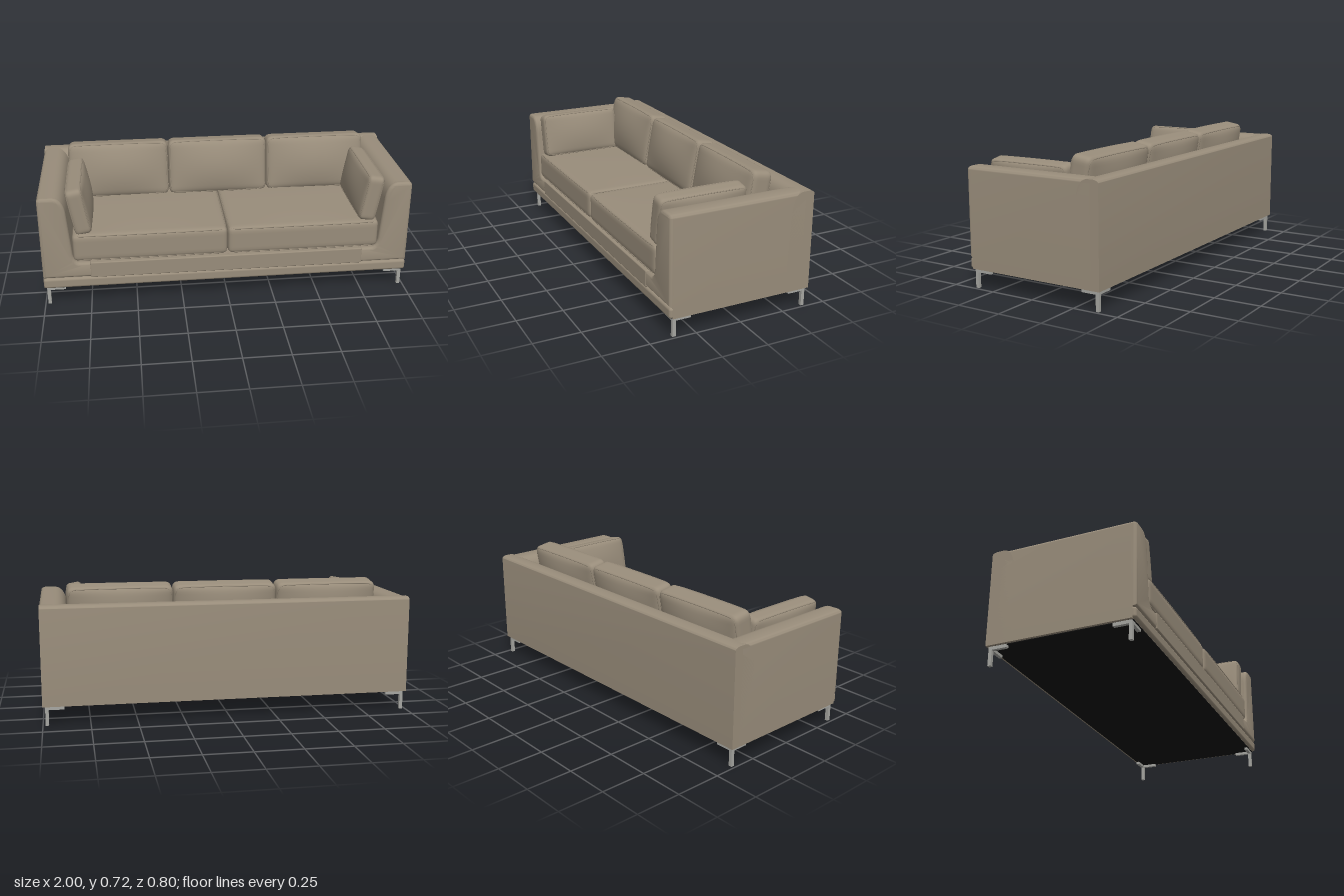
import * as THREE from 'three';
import { mergeVertices, toCreasedNormals } from 'three/addons/utils/BufferGeometryUtils.js';
import { RoundedBoxGeometry } from 'three/addons/geometries/RoundedBoxGeometry.js';

const upholstery = new THREE.MeshStandardMaterial({ color: 0x988c7a });
upholstery.name = 'taupe upholstery';
const steel = new THREE.MeshStandardMaterial({ color: 0xa6a6a1 });
steel.name = 'brushed steel';
const lining = new THREE.MeshStandardMaterial({ color: 0x111111 });
lining.name = 'black lining';

function add(parent, name, geometry, material, x = 0, y = 0, z = 0) {
  const mesh = new THREE.Mesh(geometry, material);
  mesh.name = name;
  mesh.position.set(x, y, z);
  parent.add(mesh);
  return mesh;
}

// Thickness of a crowned cushion relative to its middle
const crownAt = (u, v, k) => 1 - k + k * Math.max(0, 1 - u * u) * Math.max(0, 1 - v * v);

// Soft block, thickest in the middle (thickness runs along z)
function cushionGeometry(w, h, d, r, k) {
  let geo = new THREE.BoxGeometry(2, 2, 2, 28, 24, 12);
  const pos = geo.attributes.position;
  const half = new THREE.Vector3(w / 2, h / 2, d / 2);
  const core = half.clone().subScalar(r);
  const p = new THREE.Vector3(), c = new THREE.Vector3();
  for (let i = 0; i < pos.count; i++) {
    p.fromBufferAttribute(pos, i);
    // gather the grid towards the rounded edges
    for (const a of ['x', 'y', 'z']) p[a] = Math.sin(p[a] * Math.PI / 2) * half[a];
    c.copy(p).clamp(core.clone().negate(), core);
    p.sub(c).setLength(r).add(c);
    p.z *= crownAt(p.x / half.x, p.y / half.y, k);
    pos.setXYZ(i, p.x, p.y, p.z);
  }
  geo.deleteAttribute('uv');
  geo.deleteAttribute('normal');
  geo = mergeVertices(geo, 1e-5);
  geo.computeVertexNormals();
  return geo;
}

// Fine raised seam around one face of a cushion
function pipingGeometry(w, h, d, r, k, side) {
  const inset = r * 0.3, x = w / 2 - inset, y = h / 2 - inset;
  const points = [];
  for (const [sx, sy, start] of [[1, 1, 0], [-1, 1, 1], [-1, -1, 2], [1, -1, 3]]) {
    for (let j = 0; j <= 4; j++) {
      const a = (start + j / 4) * Math.PI / 2;
      const px = sx * (x - r) + r * Math.cos(a), py = sy * (y - r) + r * Math.sin(a);
      const z = (d / 2 - inset) * crownAt(2 * px / w, 2 * py / h, k);
      points.push(new THREE.Vector3(px, py, side * z));
    }
  }
  const path = new THREE.CatmullRomCurve3(points, true, 'centripetal');
  return new THREE.TubeGeometry(path, 120, 0.003, 5, true);
}

function cushion(parent, name, w, h, d, r, k) {
  const group = new THREE.Group();
  group.name = name;
  add(group, name + 'Body', cushionGeometry(w, h, d, r, k), upholstery);
  for (const side of [1, -1]) add(group, name + 'Piping', pipingGeometry(w, h, d, r, k, side), upholstery);
  parent.add(group);
  return group;
}

// U-shaped section of arms and base, starting at height y0
function frameShape(y0) {
  const s = new THREE.Shape();
  s.moveTo(-1, y0);
  s.lineTo(1, y0);
  s.lineTo(1, 0.615);
  s.quadraticCurveTo(1, 0.632, 0.975, 0.635);
  s.lineTo(0.92, 0.635);
  s.bezierCurveTo(0.875, 0.63, 0.857, 0.59, 0.853, 0.53);
  s.lineTo(0.835, 0.31);
  s.quadraticCurveTo(0.83, 0.25, 0.79, 0.25);
  s.lineTo(-0.79, 0.25);
  s.quadraticCurveTo(-0.83, 0.25, -0.835, 0.31);
  s.lineTo(-0.853, 0.53);
  s.bezierCurveTo(-0.857, 0.59, -0.875, 0.63, -0.92, 0.635);
  s.lineTo(-0.975, 0.635);
  s.quadraticCurveTo(-1, 0.632, -1, 0.615);
  s.closePath();
  return s;
}

const extrude = (shape, options) =>
  toCreasedNormals(new THREE.ExtrudeGeometry(shape, { curveSegments: 10, bevelEnabled: false, ...options }), 0.6);

export function createModel() {
  const sofa = new THREE.Group();
  sofa.name = 'sofa';

  // Arms and base, with a softly rounded front facing
  add(sofa, 'armsAndBase', extrude(frameShape(0.103), { depth: 0.73 }), upholstery, 0, 0, -0.352);
  add(sofa, 'frontFacing', extrude(frameShape(0.165), {
    depth: 0.01, bevelEnabled: true, bevelThickness: 0.018, bevelSize: 0.018, bevelOffset: -0.018, bevelSegments: 5,
  }), upholstery, 0, 0, 0.37);
  add(sofa, 'frontPanel', new RoundedBoxGeometry(1.49, 0.09, 0.03, 3, 0.006), upholstery, 0, 0.208, 0.385);
  add(sofa, 'bottomRail', new RoundedBoxGeometry(2, 0.058, 0.05, 4, 0.014), upholstery, 0, 0.133, 0.371);

  // Backrest, profile drawn with x pointing to the rear
  const back = new THREE.Shape();
  back.moveTo(0.4, 0.103);
  back.lineTo(0.4, 0.62);
  back.quadraticCurveTo(0.4, 0.63, 0.375, 0.635);
  back.lineTo(0.335, 0.635);
  back.bezierCurveTo(0.295, 0.63, 0.275, 0.59, 0.272, 0.53);
  back.lineTo(0.26, 0.103);
  back.closePath();
  add(sofa, 'backrest', extrude(back, { depth: 2 }).rotateY(Math.PI / 2), upholstery, -1, 0, 0);

  // Seat cushions and arm pillows, mirrored
  for (const side of [1, -1]) {
    const label = side > 0 ? 'left' : 'right';
    const seat = cushion(sofa, label + 'SeatCushion', 0.832, 0.69, 0.172, 0.028, 0.1);
    seat.rotation.x = -Math.PI / 2;
    seat.position.set(side * 0.417, 0.335, 0.048);

    const pillow = cushion(sofa, label + 'ArmPillow', 0.485, 0.26, 0.132, 0.03, 0.33);
    pillow.rotation.set(0, Math.PI / 2, -side * 0.18, 'ZYX');
    pillow.position.set(side * 0.79, 0.533, 0.133);
  }

  // Back cushions, leaning to the rear
  for (const [i, label] of ['right', 'middle', 'left'].entries()) {
    const c = cushion(sofa, label + 'BackCushion', 0.568, 0.315, 0.185, 0.035, 0.38);
    c.rotation.x = -0.17;
    c.position.set((i - 1) * 0.571, 0.558, -0.172);
  }

  // Lining under the base
  add(sofa, 'underside', new THREE.BoxGeometry(1.97, 0.006, 0.765), lining, 0, 0.102, -0.005);

  // Corner legs: a post with two mounting bars
  for (const sx of [1, -1]) {
    for (const sz of [1, -1]) {
      const leg = new THREE.Group();
      leg.name = (sz > 0 ? 'front' : 'back') + (sx > 0 ? 'Left' : 'Right') + 'Leg';
      leg.position.set(sx * 0.977, 0, sz > 0 ? 0.364 : -0.38);
      add(leg, 'post', new THREE.BoxGeometry(0.018, 0.102, 0.018), steel, 0, 0.051, 0);
      add(leg, 'sideBar', new THREE.BoxGeometry(0.018, 0.018, 0.082), steel, 0, 0.093, -sz * 0.05);
      add(leg, 'crossBar', new THREE.BoxGeometry(0.082, 0.018, 0.018), steel, -sx * 0.05, 0.093, 0);
      sofa.add(leg);
    }
  }
  return sofa;
}
